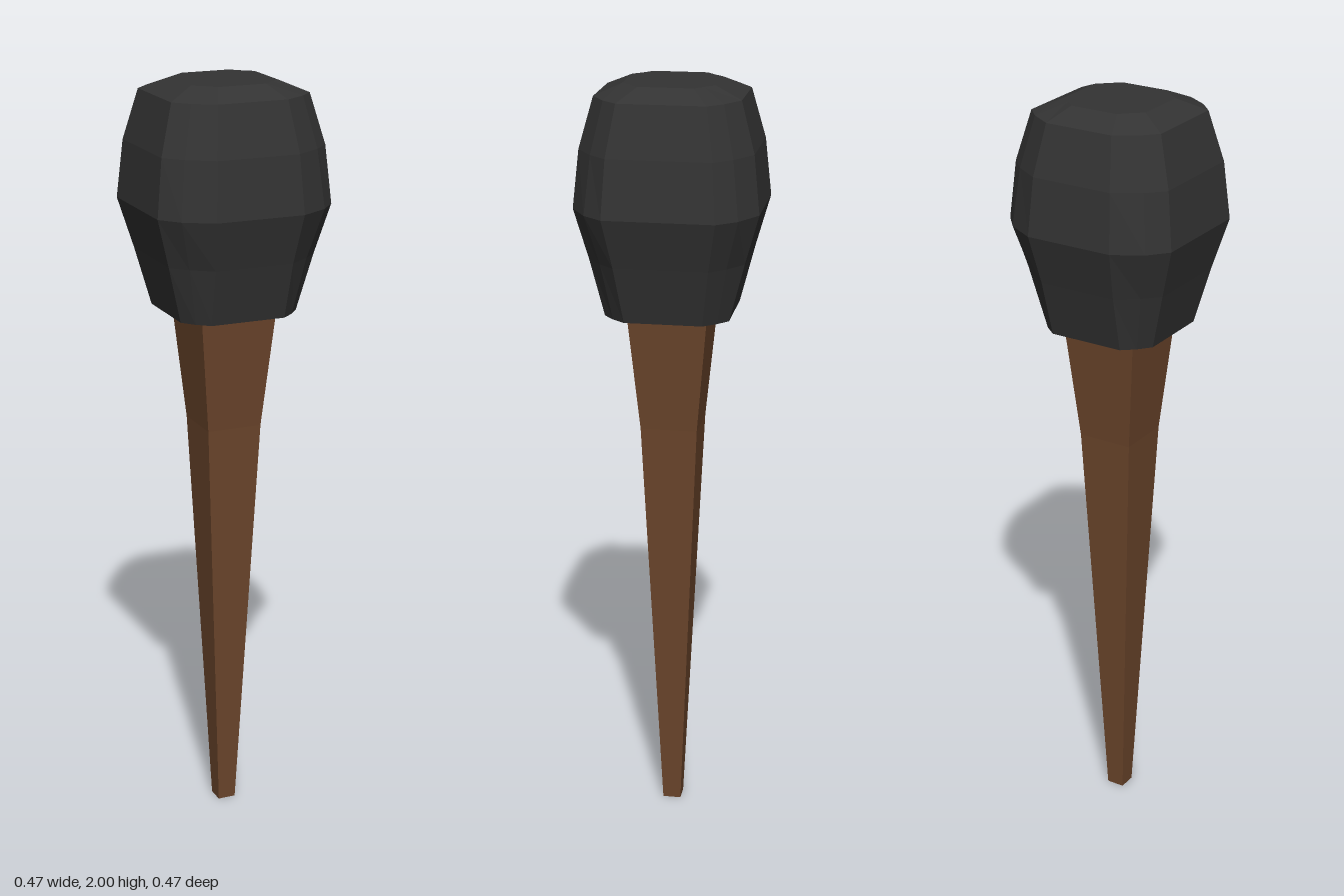
import * as THREE from 'three';

// Skin a stack of rings (arrays of Vector3, counter-clockwise seen from below) and cap both ends
function loft(rings) {
  const n = rings[0].length, pos = [];
  const tri = (...v) => v.forEach(p => pos.push(p.x, p.y, p.z));
  for (let r = 0; r < rings.length - 1; r++) {
    for (let i = 0; i < n; i++) {
      const j = (i + 1) % n, a = rings[r], b = rings[r + 1];
      tri(a[i], b[i], b[j]);
      tri(a[i], b[j], a[j]);
    }
  }
  const bottom = rings[0], top = rings[rings.length - 1];
  for (let i = 1; i < n - 1; i++) {
    tri(bottom[0], bottom[i], bottom[i + 1]);
    tri(top[0], top[i + 1], top[i]);
  }
  const g = new THREE.BufferGeometry();
  g.setAttribute('position', new THREE.Float32BufferAttribute(pos, 3));
  g.computeVertexNormals();
  return g;
}

// Repeat one corner's [x, z] points around the four corners
function ring(y, corner) {
  const out = [];
  for (let k = 0; k < 4; k++) {
    for (const [x, z] of corner) {
      const p = [[x, z], [-z, x], [-x, -z], [z, -x]][k];
      out.push(new THREE.Vector3(p[0], y, p[1]));
    }
  }
  return out;
}

function part(name, rings, color) {
  const material = new THREE.MeshStandardMaterial({ color, flatShading: true });
  const mesh = new THREE.Mesh(loft(rings), material);
  mesh.name = name;
  return mesh;
}

export function createModel() {
  const group = new THREE.Group();
  group.name = 'mallet';

  // Square tapered handle: [height, half width]
  const handle = [[0, 0.024], [1.1, 0.074], [1.42, 0.104]];
  group.add(part('handle', handle.map(([y, h]) => ring(y, [[h, h]])), 0x6b452b));

  // Bulging head with bevelled corners: [height, half width, side flat, bevel middle, front flat]
  const head = [
    [1.41, 0.16, 0.1, 0.133, 0.1],
    [1.56, 0.199, 0.12, 0.16, 0.105],
    [1.69, 0.236, 0.142, 0.193, 0.118],
    [1.84, 0.221, 0.133, 0.178, 0.11],
    [1.97, 0.186, 0.112, 0.15, 0.093],
    [2.0, 0.117, 0.07, 0.091, 0.065],
  ];
  group.add(part('head', head.map(([y, h, s, m, f]) => {
    const a = ring(y, [[h, s], [m, m], [f, h]]);
    // keep the wide flats on the sides and the narrow flats on front and back
    for (const p of a) {
      const ax = Math.abs(p.x), az = Math.abs(p.z);
      if (ax > az + 1e-6) p.z = Math.sign(p.z) * s;
      else if (az > ax + 1e-6) p.x = Math.sign(p.x) * f;
    }
    return a;
  }), 0x333333));

  return group;
}
